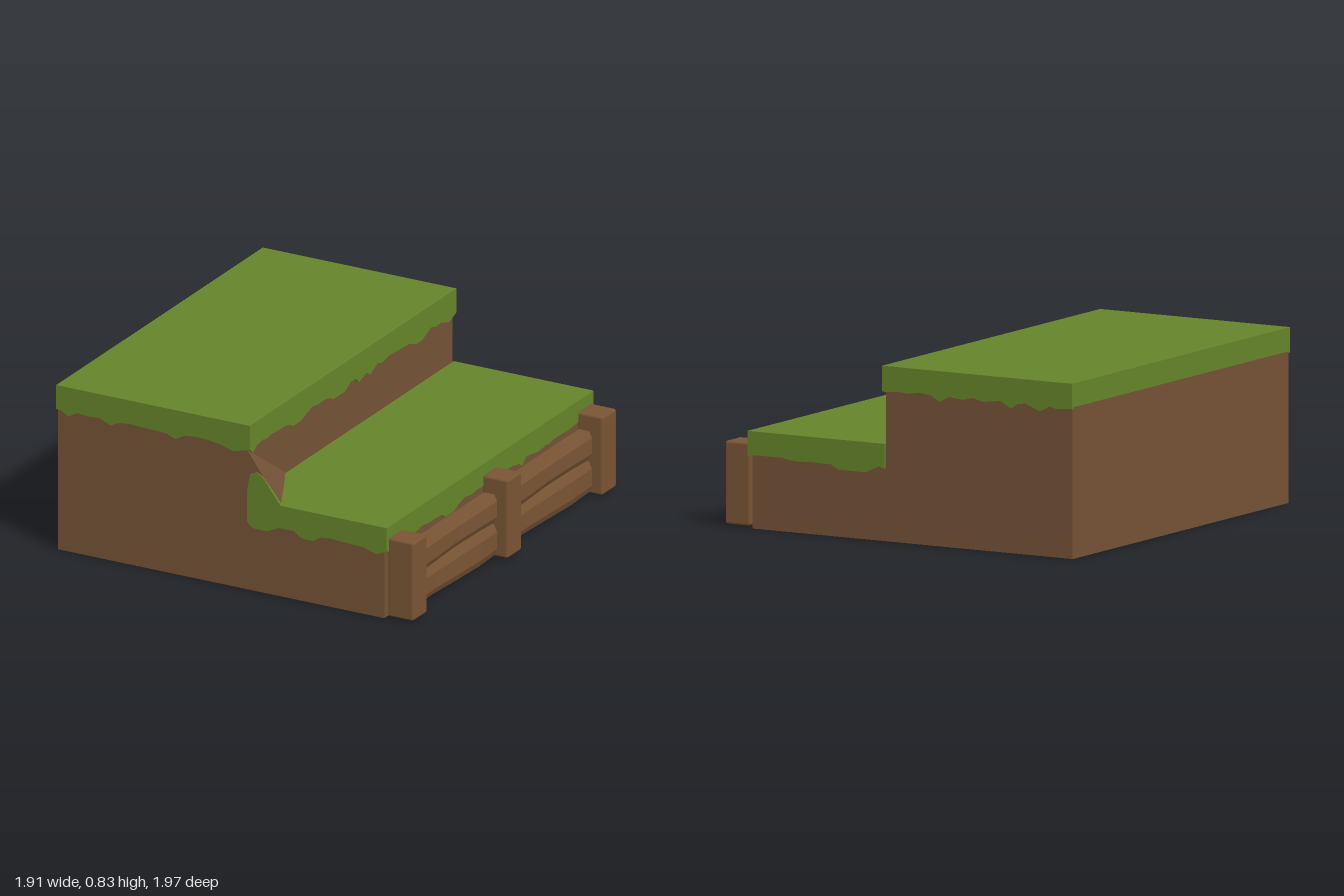
import * as THREE from 'three';
import { RoundedBoxGeometry } from 'three/addons/geometries/RoundedBoxGeometry.js';

const grass = new THREE.MeshStandardMaterial({ color: 0x65842a });
grass.name = 'grass green';
const earth = new THREE.MeshStandardMaterial({ color: 0x76532f });
earth.name = 'earth brown';
const wood = new THREE.MeshStandardMaterial({ color: 0x7a5535 });
wood.name = 'wood brown';
earth.color.set(0x755236);

// Small seeded random generator
function seeded(seed) {
  return () => {
    seed = (seed * 16807) % 2147483647;
    return seed / 2147483647;
  };
}

function add(parent, name, geometry, material, x = 0, y = 0, z = 0) {
  const mesh = new THREE.Mesh(geometry, material);
  mesh.name = name;
  mesh.position.set(x, y, z);
  parent.add(mesh);
  return mesh;
}

function box(parent, name, material, [x0, x1], [y0, y1], [z0, z1]) {
  const geometry = new THREE.BoxGeometry(x1 - x0, y1 - y0, z1 - z0);
  return add(parent, name, geometry, material, (x0 + x1) / 2, (y0 + y1) / 2, (z0 + z1) / 2);
}

// Thin plate with a ragged lower edge; extra points can replace the top edge
function fringe(from, to, bottom, top, seed, topPoints) {
  const random = seeded(seed);
  const points = [[from, bottom]];
  let x = from;
  while (x < to - 0.09) {
    x += 0.03 + random() * 0.05;
    points.push([x, bottom + (random() > 0.75 ? -0.025 : 0.016 * (random() - 0.4))]);
  }
  points.push([to, bottom], ...(topPoints || [[to, top], [from, top]]));
  const shape = new THREE.Shape(points.map(([a, b]) => new THREE.Vector2(a, b)));
  return new THREE.ExtrudeGeometry(shape, { depth: 0.012, bevelEnabled: false });
}

// Log board: rounded section that swells and sags a little along its length
function board(height, length, seed) {
  const h = height / 2;
  const section = [[-0.035, -h], [0.02, -h], [0.036, -h * 0.55], [0.036, h * 0.55], [0.02, h], [-0.035, h]];
  const shape = new THREE.Shape(section.map(([a, b]) => new THREE.Vector2(a, b)));
  const geometry = new THREE.ExtrudeGeometry(shape, { depth: length, steps: 8, bevelEnabled: false });
  geometry.translate(0, 0, -length / 2);
  const p = geometry.attributes.position;
  for (let i = 0; i < p.count; i++) {
    const wave = Math.sin(p.getZ(i) * 7 + seed);
    p.setX(i, p.getX(i) + wave * 0.005);
    p.setY(i, p.getY(i) * (1 + wave * 0.05));
  }
  geometry.computeVertexNormals();
  return geometry;
}

export function createModel() {
  const group = new THREE.Group();
  group.name = 'grassTerrace';

  // Stepped earth block
  const profile = [[-0.955, 0], [0.8, 0], [0.8, 0.44], [0.068, 0.44], [0.068, 0.75], [-0.955, 0.75]];
  const bodyShape = new THREE.Shape(profile.map(([x, y]) => new THREE.Vector2(x, y)));
  const body = new THREE.ExtrudeGeometry(bodyShape, { depth: 1.95, bevelEnabled: false });
  add(group, 'earthBlock', body, earth, 0, 0, -0.975);

  // Earth mound in the front corner of the step
  const a = [0.065, 0.71, 0.982], b = [0.255, 0.45, 0.982], c = [0.065, 0.45, 0.982], d = [0.068, 0.468, 0.62];
  const mound = new THREE.BufferGeometry();
  mound.setAttribute('position', new THREE.Float32BufferAttribute([a, c, b, a, b, d, a, d, c, c, d, b].flat(2), 3));
  mound.computeVertexNormals();
  add(group, 'cornerMound', mound, earth);

  // Grass layers
  const upper = new THREE.Group();
  upper.name = 'upperGrass';
  const lower = new THREE.Group();
  lower.name = 'lowerGrass';
  group.add(upper, lower);
  box(upper, 'upperTurf', grass, [-0.958, 0.073], [0.72, 0.833], [-0.976, 0.976]);
  box(lower, 'lowerTurf', grass, [0.068, 0.808], [0.36, 0.463], [-0.976, 0.976]);

  // Ragged front, back and right fringes of both layers
  const moundTop = [[0.82, 0.463], [0.25, 0.463], [0.15, 0.59], [0.12, 0.605], [0.085, 0.59], [0.068, 0.5]];
  add(upper, 'upperFrontFringe', fringe(-0.958, 0.083, 0.712, 0.833, 11), grass, 0, 0, 0.974);
  add(upper, 'upperBackFringe', fringe(-0.958, 0.083, 0.712, 0.833, 23), grass, 0, 0, -0.986);
  add(lower, 'lowerFrontFringe', fringe(0.07, 0.82, 0.345, 0.463, 37, moundTop), grass, 0, 0, 0.976);
  add(lower, 'lowerBackFringe', fringe(0.07, 0.82, 0.345, 0.463, 41), grass, 0, 0, -0.986);
  add(upper, 'upperRightFringe', fringe(-0.985, 0.985, 0.712, 0.833, 53), grass, 0.071, 0, 0).rotation.y = Math.PI / 2;
  add(lower, 'lowerRightFringe', fringe(-0.985, 0.985, 0.348, 0.463, 67), grass, 0.808, 0, 0).rotation.y = Math.PI / 2;

  // Wooden retaining fence on the right side
  const fence = new THREE.Group();
  fence.name = 'fence';
  group.add(fence);
  for (const z of [-0.905, 0, 0.9]) {
    add(fence, 'fencePost', new RoundedBoxGeometry(0.138, 0.395, 0.136, 1, 0.012), wood, 0.883, 0.207, z);
  }
  [[0.092, 0.155], [0.25, 0.14]].forEach(([y, height], i) => {
    add(fence, 'fenceBoard', board(height, 1.74, i * 2), wood, 0.857, y, 0);
  });
  return group;
}
